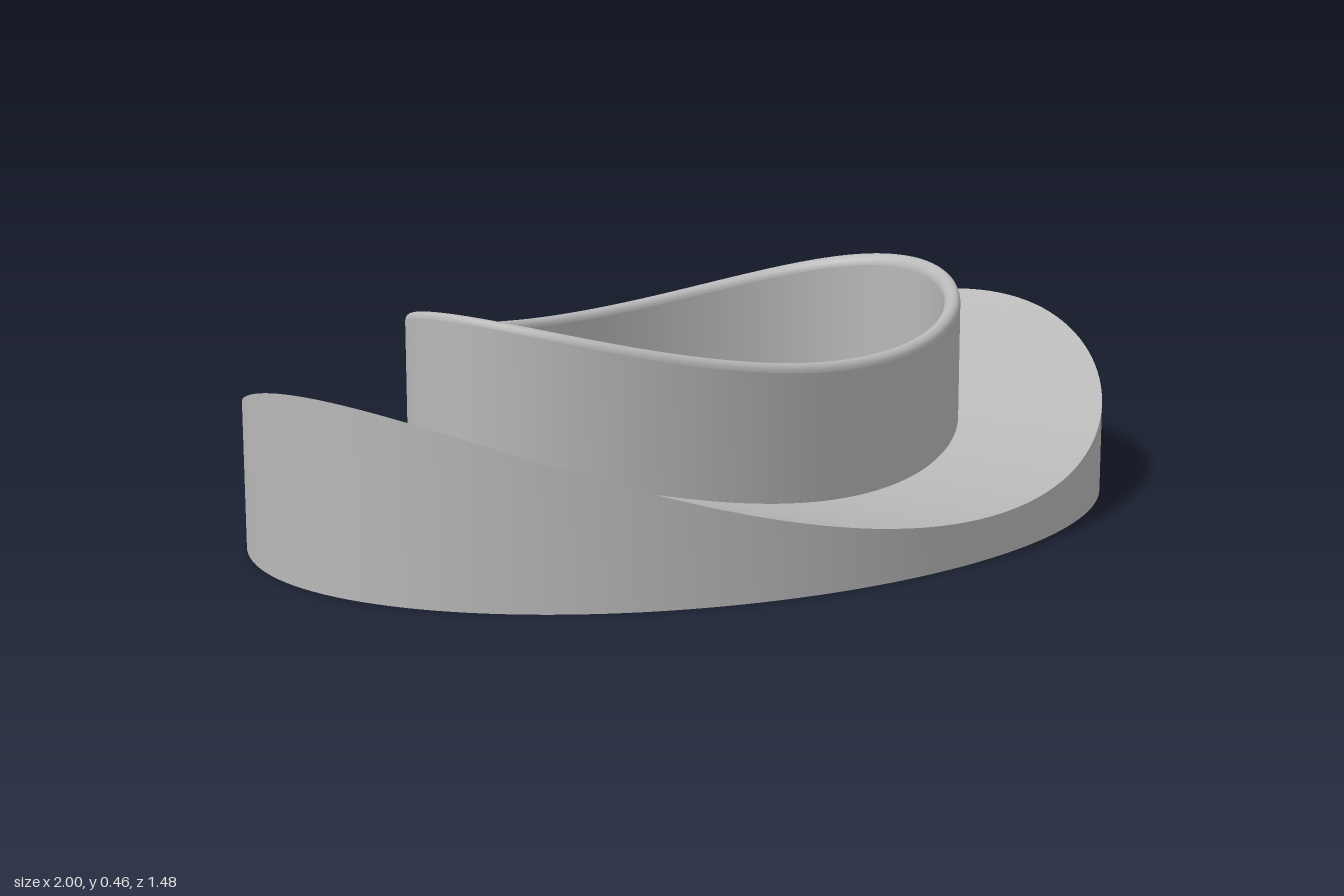
import * as THREE from 'three';

const SEGMENTS = 160;
const OUTER = [1, 0.74];       // base half-axes (x, z)
const COLLAR = [0.678, 0.445]; // collar outside half-axes
const WALL = 0.035;
const HOLE = COLLAR.map((r) => r - WALL);

// Saddle sweep: a circular arc along x, added to a height
const RADIUS = 2.02;
const arc = (x) => RADIUS - Math.sqrt(RADIUS * RADIUS - x * x);
const curved = (height) => (x) => height + arc(x);
const flat = (height) => () => height;
const baseTop = curved(0.08);

// Smooth skin through closed elliptical rings of [half-axes, height function]
function loft(rings) {
  const positions = [], indices = [];
  rings.forEach(([[a, b], height], i) => {
    for (let j = 0; j < SEGMENTS; j++) {
      const t = (j / SEGMENTS) * Math.PI * 2;
      const x = a * Math.cos(t);
      positions.push(x, height(x), b * Math.sin(t));
      if (i === rings.length - 1) continue;
      const p = i * SEGMENTS + j, q = i * SEGMENTS + ((j + 1) % SEGMENTS);
      indices.push(p, p + SEGMENTS, q + SEGMENTS, p, q + SEGMENTS, q);
    }
  });
  const geometry = new THREE.BufferGeometry();
  geometry.setAttribute('position', new THREE.Float32BufferAttribute(positions, 3));
  geometry.setIndex(indices);
  geometry.computeVertexNormals();
  return geometry;
}

export function createModel() {
  const group = new THREE.Group();
  const grey = new THREE.MeshStandardMaterial({ color: 0xb8b8b8 });
  grey.name = 'grey';
  const add = (name, rings) => {
    const mesh = new THREE.Mesh(loft(rings), grey);
    mesh.name = name;
    group.add(mesh);
  };

  // Base ring: outside wall, curved top and flat underside
  add('baseWall', [[OUTER, flat(0)], [OUTER, baseTop]]);
  const topRings = [];
  for (let i = 0; i <= 10; i++) {
    topRings.push([OUTER.map((r, k) => THREE.MathUtils.lerp(r, COLLAR[k], i / 10)), baseTop]);
  }
  add('baseTop', topRings);
  add('baseUnderside', [[HOLE, flat(0)], [OUTER, flat(0)]]);

  // Raised collar with a rounded rim
  const rimRadius = WALL / 2;
  const rimBase = 0.345 - rimRadius;
  add('collarWall', [[COLLAR, baseTop], [COLLAR, curved(rimBase)]]);
  const rimRings = [];
  for (let i = 0; i <= 10; i++) {
    const t = (i / 10) * Math.PI;
    const inset = rimRadius * (1 - Math.cos(t));
    rimRings.push([COLLAR.map((r) => r - inset), curved(rimBase + rimRadius * Math.sin(t))]);
  }
  add('collarRim', rimRings);

  // Opening that runs from the rim straight through the base
  add('openingWall', [[HOLE, curved(rimBase)], [HOLE, flat(0)]]);

  return group;
}
